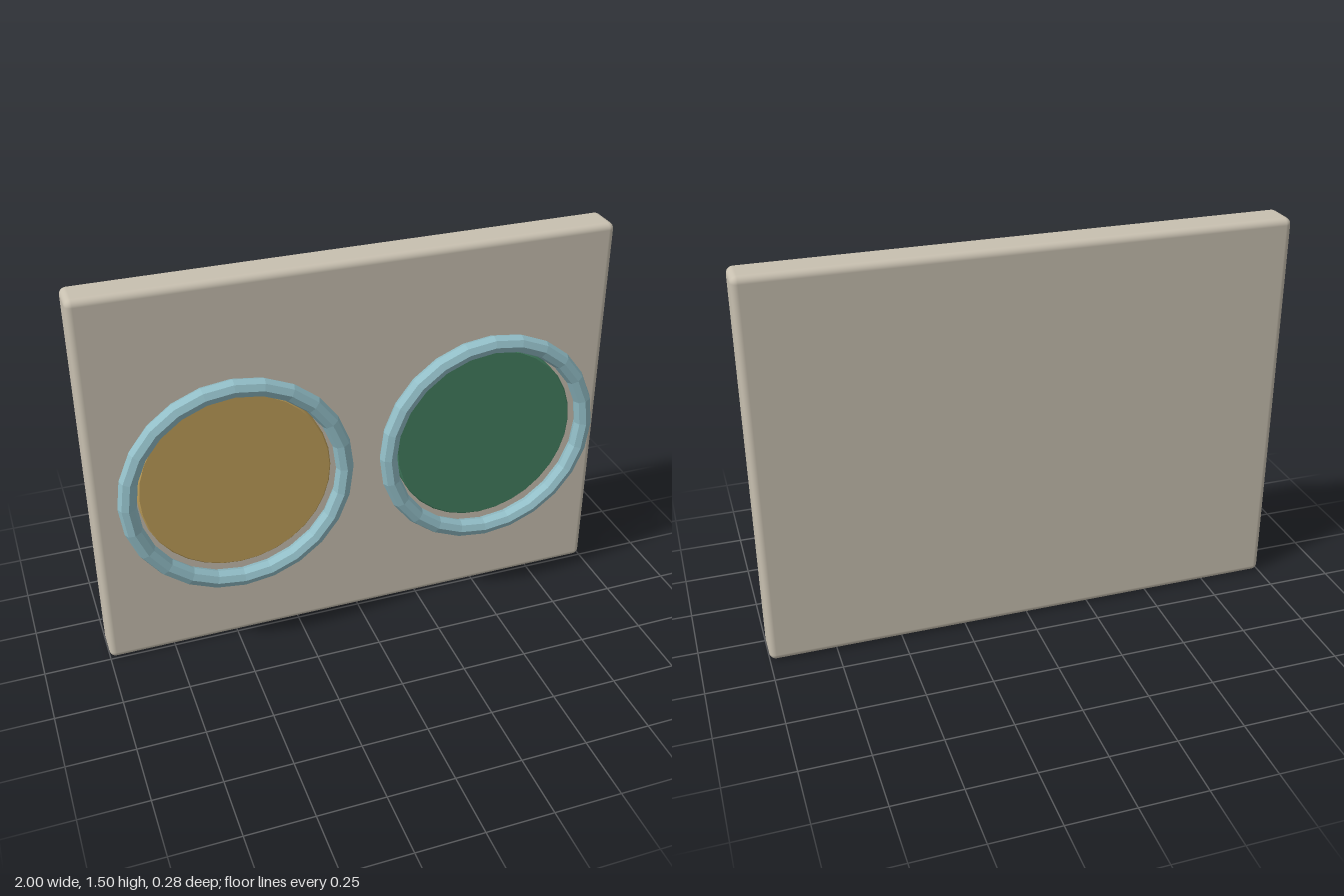
import * as THREE from 'three';
import { RoundedBoxGeometry } from 'three/addons/geometries/RoundedBoxGeometry.js';
import { toCreasedNormals } from 'three/addons/utils/BufferGeometryUtils.js';

function material(name, color, flatShading = false) {
  const m = new THREE.MeshStandardMaterial({ color, flatShading });
  m.name = name;
  return m;
}

export function createModel() {
  const group = new THREE.Group();
  const stone = material('warm grey', 0xc8c0b0);
  const blue = material('pale blue', 0x93bfc8, true);
  const gold = material('gold', 0xbf9f5a);
  const green = material('green', 0x437f60);

  function add(name, geometry, mat, x, y, z) {
    const mesh = new THREE.Mesh(geometry, mat);
    mesh.name = name;
    mesh.position.set(x, y, z);
    group.add(mesh);
  }

  // Backing slab with softly rounded edges
  add('board', new RoundedBoxGeometry(2, 1.5, 0.14, 3, 0.025), stone, 0, 0.75, -0.069);

  // Disc with a tiny bevel, turned to face the front
  const r = 0.356, h = 0.028, b = 0.005;
  const profile = [[0, -h], [r - b, -h], [r, b - h], [r, h - b], [r - b, h], [0, h]];
  const disc = toCreasedNormals(
    new THREE.LatheGeometry(profile.map(([x, y]) => new THREE.Vector2(x, y)), 32).rotateX(Math.PI / 2),
    0.5
  );

  // Faceted ring
  const ring = new THREE.TorusGeometry(0.4, 0.034, 8, 24);

  // Each disc floats just off the board with its ring in front
  for (const [side, x, colour] of [['right', -0.487, gold], ['left', 0.483, green]]) {
    add(side + 'Disc', disc, colour, x, 0.745, 0.047);
    add(side + 'Ring', ring, blue, x, 0.745, 0.105);
  }
  return group;
}
